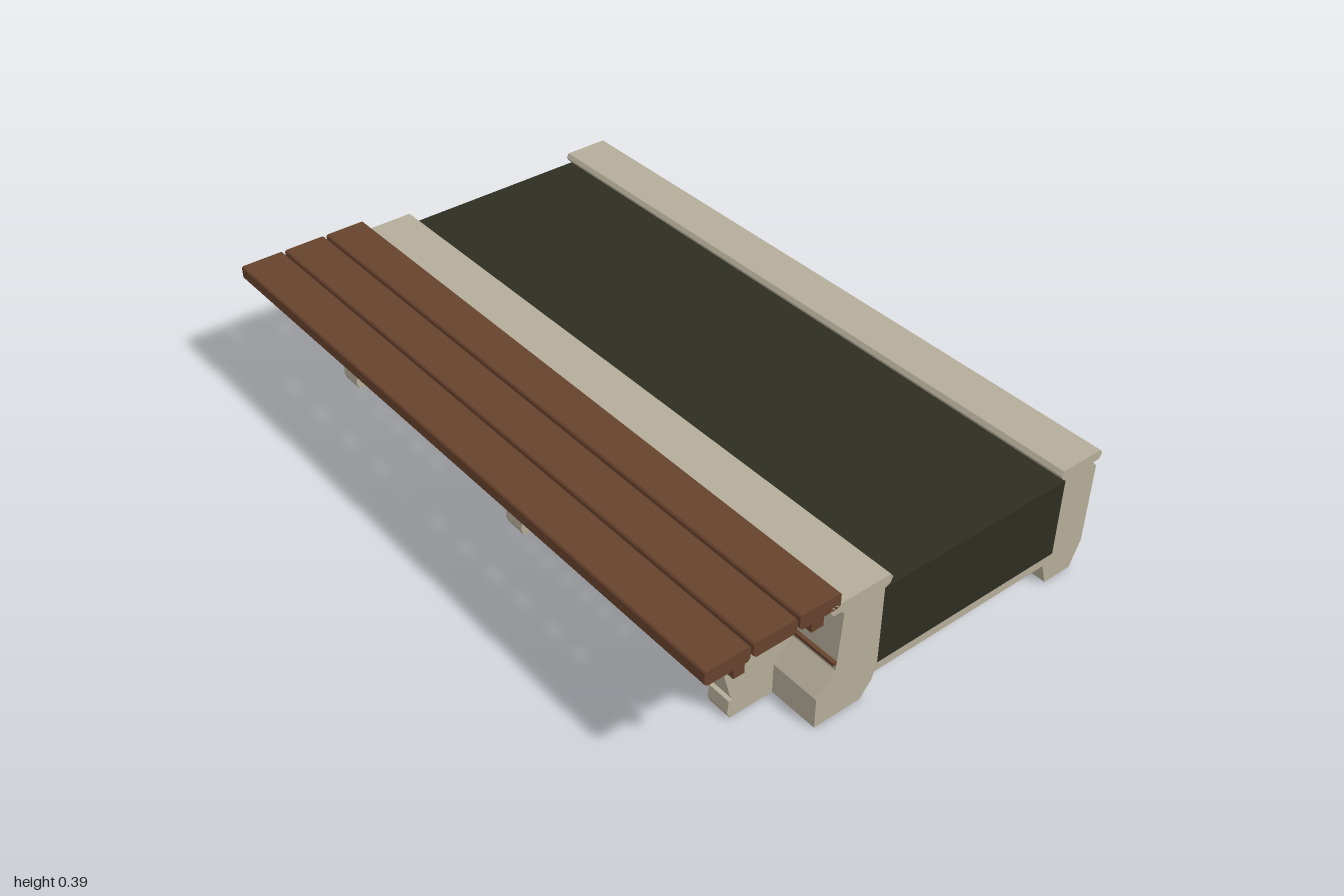
import * as THREE from 'three';

const concrete = new THREE.MeshStandardMaterial({ name: 'concrete', color: 0xb5ad99 });
const wood = new THREE.MeshStandardMaterial({ name: 'wood', color: 0x66422d });
const soil = new THREE.MeshStandardMaterial({ name: 'soil', color: 0x2e2d22 });

// Extrudes a side profile of [z, y] points along x
function profile(name, points, length, material, x = 0) {
  const shape = new THREE.Shape(points.map(([z, y]) => new THREE.Vector2(z, y)));
  const geometry = new THREE.ExtrudeGeometry(shape, { depth: length, bevelEnabled: false });
  geometry.translate(0, 0, -length / 2).rotateY(-Math.PI / 2);
  const mesh = new THREE.Mesh(geometry, material);
  mesh.name = name;
  mesh.position.x = x;
  return mesh;
}

// Box given by its z and y limits, centred on x
function bar(name, z0, z1, y0, y1, length, material, x = 0) {
  const mesh = new THREE.Mesh(new THREE.BoxGeometry(length, y1 - y0, z1 - z0), material);
  mesh.name = name;
  mesh.position.set(x, (y0 + y1) / 2, (z0 + z1) / 2);
  return mesh;
}

export function createModel() {
  const model = new THREE.Group();
  model.name = 'planterBench';

  // Concrete trough: front wall, floor and back wall in one section
  model.add(profile('trough', [
    [0.153, 0], [0.298, 0], [0.298, 0.09], [0.243, 0.15], [0.231, 0.32], [0.219, 0.332],
    [0.265, 0.332], [0.277, 0.35], [0.27, 0.36], [0.09, 0.36], [0.082, 0.348], [0.09, 0.333],
    [0.105, 0.326], [0.105, 0.09], [-0.505, 0.09], [-0.505, 0.326],
    [-0.495, 0.333], [-0.485, 0.348], [-0.493, 0.36], [-0.627, 0.36], [-0.635, 0.347],
    [-0.627, 0.333], [-0.606, 0.332], [-0.62, 0.315], [-0.617, 0.075], [-0.586, 0],
    [-0.494, 0], [-0.474, 0.065], [0.112, 0.065], [0.119, 0.042],
  ], 2, concrete));

  // Planting bed
  model.add(bar('soil', -0.505, 0.105, 0.09, 0.325, 2, soil));

  // Thin strip along the front wall
  model.add(bar('wallStrip', 0.238, 0.252, 0.168, 0.178, 2, wood));

  // Seat brackets, each with a foot and a mounting plate
  for (const x of [-0.82, 0, 0.82]) {
    const bracket = new THREE.Group();
    bracket.name = 'seatBracket';
    bracket.add(profile('bracketArm', [
      [0.298, 0.055], [0.422, 0.055], [0.432, 0.075], [0.461, 0.185], [0.579, 0.3], [0.598, 0.332],
      [0.596, 0.346], [0.23, 0.346], [0.231, 0.32], [0.243, 0.15], [0.298, 0.09],
    ], 0.07, concrete, x));
    bracket.add(profile('bracketFoot', [
      [0.29, 0], [0.43, 0], [0.438, 0.02], [0.434, 0.055], [0.29, 0.055],
    ], 0.07, concrete, x));
    bracket.add(bar('mountingPlate', 0.29, 0.59, 0.346, 0.35, 0.07, wood, x));
    model.add(bracket);
  }

  // Lengthwise beams under the seat
  model.add(bar('frontBeam', 0.525, 0.556, 0.323, 0.35, 2, wood));
  model.add(bar('rearBeam', 0.295, 0.331, 0.323, 0.35, 2, wood));

  // Seat slats with eased edges
  for (const [a, b] of [[0.245, 0.367], [0.375, 0.501], [0.509, 0.637]]) {
    const e = 0.008;
    model.add(profile('seatSlat', [
      [a + e, 0.35], [b - e, 0.35], [b, 0.35 + e], [b, 0.389], [b - 0.004, 0.393],
      [a + 0.004, 0.393], [a, 0.389], [a, 0.35 + e],
    ], 2, wood));
  }
  return model;
}
